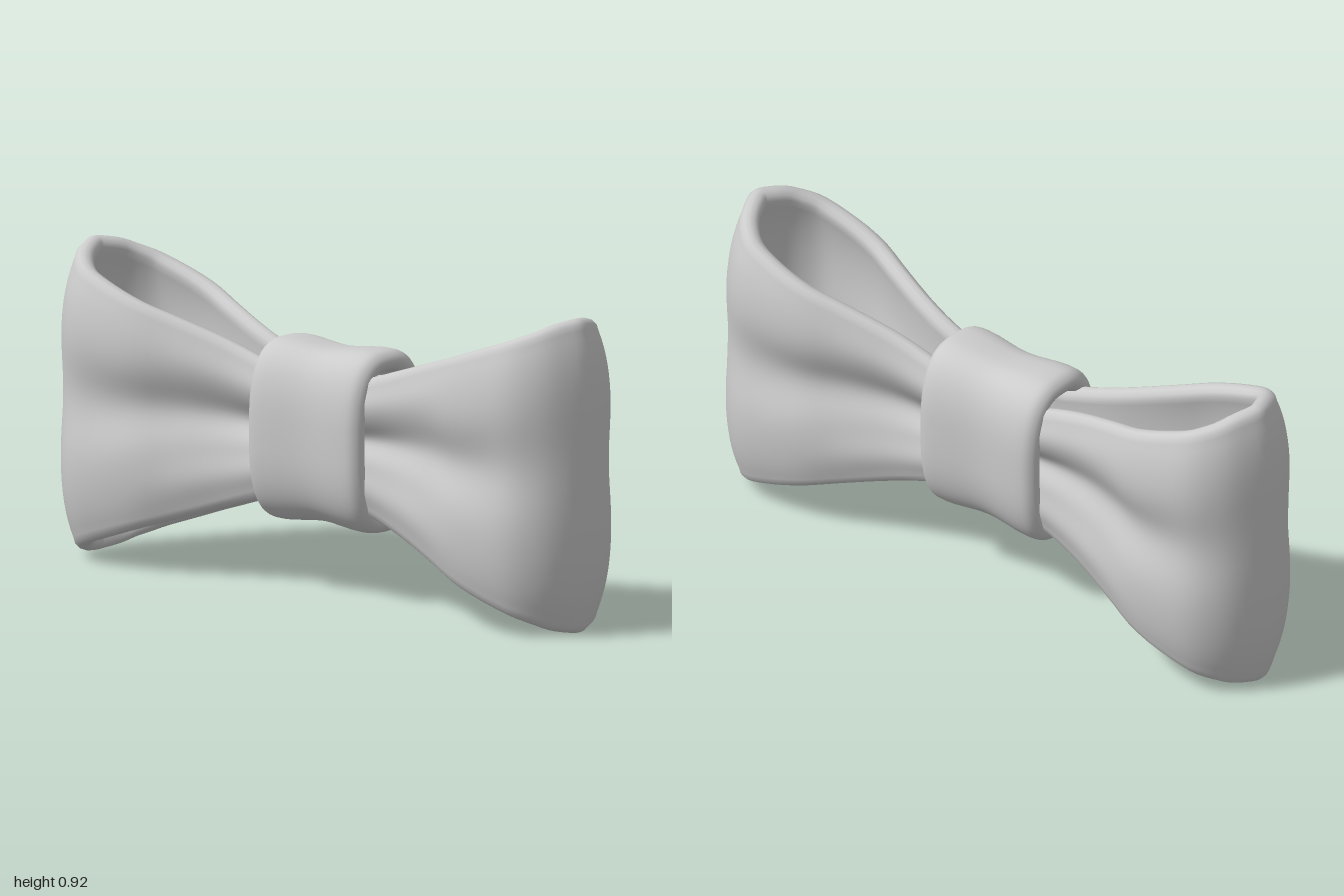
import * as THREE from 'three';

const material = new THREE.MeshStandardMaterial({ color: 0xcccccc });

// Surface closed in both directions; point(i, j) returns [x, y, z]
function closedGrid(nu, nv, point) {
  const positions = [], index = [];
  for (let i = 0; i < nu; i++) {
    for (let j = 0; j < nv; j++) {
      positions.push(...point(i, j));
      const i2 = (i + 1) % nu, j2 = (j + 1) % nv;
      const a = i * nv + j, b = i2 * nv + j, c = i2 * nv + j2, d = i * nv + j2;
      index.push(a, b, c, a, c, d);
    }
  }
  const geometry = new THREE.BufferGeometry();
  geometry.setAttribute('position', new THREE.Float32BufferAttribute(positions, 3));
  geometry.setIndex(index);
  geometry.computeVertexNormals();
  return geometry;
}

// Flattened ribbon loop, swept round a dumbbell-shaped path seen from above
function createRibbon() {
  const centerY = 0.464, half = 0.03, across = 32, rim = 6, steps = 112;

  // One quarter of the path (x, z), from the end of the loop to the knot
  const quarter = [
    [0.968, 0], [0.95, 0.06], [0.91, 0.13], [0.84, 0.183], [0.74, 0.197],
    [0.62, 0.185], [0.5, 0.143], [0.36, 0.1], [0.25, 0.085], [0, 0.085],
  ];
  const n = quarter.length;
  const front = [...quarter, ...quarter.slice(0, n - 1).reverse().map(([x, z]) => [-x, z])];
  const loop = [...front, ...front.slice(1, -1).reverse().map(([x, z]) => [x, -z])];
  const path = new THREE.CatmullRomCurve3(loop.map(([x, z]) => new THREE.Vector3(x, 0, z)), true);

  // Band section: [s across the height, rim overhang, thickness side]
  const section = [];
  for (let k = 0; k <= across; k++) section.push([1 - 2 * k / across, 0, 1]);
  for (let k = 1; k < rim; k++) section.push([-1, -Math.sin(Math.PI * k / rim), Math.cos(Math.PI * k / rim)]);
  for (let k = 0; k <= across; k++) section.push([-1 + 2 * k / across, 0, -1]);
  for (let k = 1; k < rim; k++) section.push([1, Math.sin(Math.PI * k / rim), -Math.cos(Math.PI * k / rim)]);

  return closedGrid(steps, section.length, (i, j) => {
    const p = path.getPoint(i / steps), t = path.getTangent(i / steps);
    const [s, overhang, side] = section[j];
    const ax = Math.abs(p.x);
    const height = 0.205 + 0.325 * Math.max(ax - 0.21, -0.1) + 0.01 * THREE.MathUtils.smoothstep(ax, 0.88, 0.96);

    // Pleat along the middle, deepest towards the knot, and edges curling inwards
    const depth = 0.045 * (1 - Math.min(1, ax / 0.95) ** 6) * (side > 0 ? 1 : 0.2);
    const width = 0.22 + 0.12 * ax;
    const pleat = Math.exp(-(((s - 0.07) / width) ** 2));
    const wave = 0.005 * Math.cos(9 * s) * THREE.MathUtils.smoothstep(0.7 - ax, 0, 0.3);
    const curl = (0.006 + 0.034 * THREE.MathUtils.smoothstep(ax, 0.3, 0.95)) * s ** 4;
    const offset = half * side - depth * pleat - curl + (side > 0 ? wave : 0);

    return [
      p.x + t.z * offset,
      centerY + s * (height - half) + overhang * half,
      p.z - t.x * offset,
    ];
  });
}

// Rounded band wrapped round the middle, slightly waisted with soft lips
function createKnot() {
  const centerY = 0.467, halfY = 0.268, halfZ = 0.16, around = 64, ring = 44;
  const profile = new THREE.CatmullRomCurve3([
    [-0.15, 0], [0, -0.013], [0.15, 0], [0.195, -0.006], [0.215, -0.03], [0.2, -0.058],
    [0.1, -0.06], [-0.1, -0.06], [-0.2, -0.058], [-0.215, -0.03], [-0.195, -0.006],
  ].map(([x, d]) => new THREE.Vector3(x, d, 0)), true);
  const power = (v) => Math.sign(v) * Math.abs(v) ** (2 / 2.8);

  return closedGrid(around, ring, (i, j) => {
    const angle = (i / around) * Math.PI * 2;
    const p = profile.getPoint(j / ring);
    return [
      p.x,
      centerY + (halfY + p.y) * power(Math.cos(angle)),
      (halfZ + p.y) * power(Math.sin(angle)),
    ];
  });
}

export function createModel() {
  const group = new THREE.Group();
  group.name = 'bowTie';
  const parts = { ribbonLoops: createRibbon(), centerKnot: createKnot() };
  for (const [name, geometry] of Object.entries(parts)) {
    const mesh = new THREE.Mesh(geometry, material);
    mesh.name = name;
    group.add(mesh);
  }
  return group;
}
